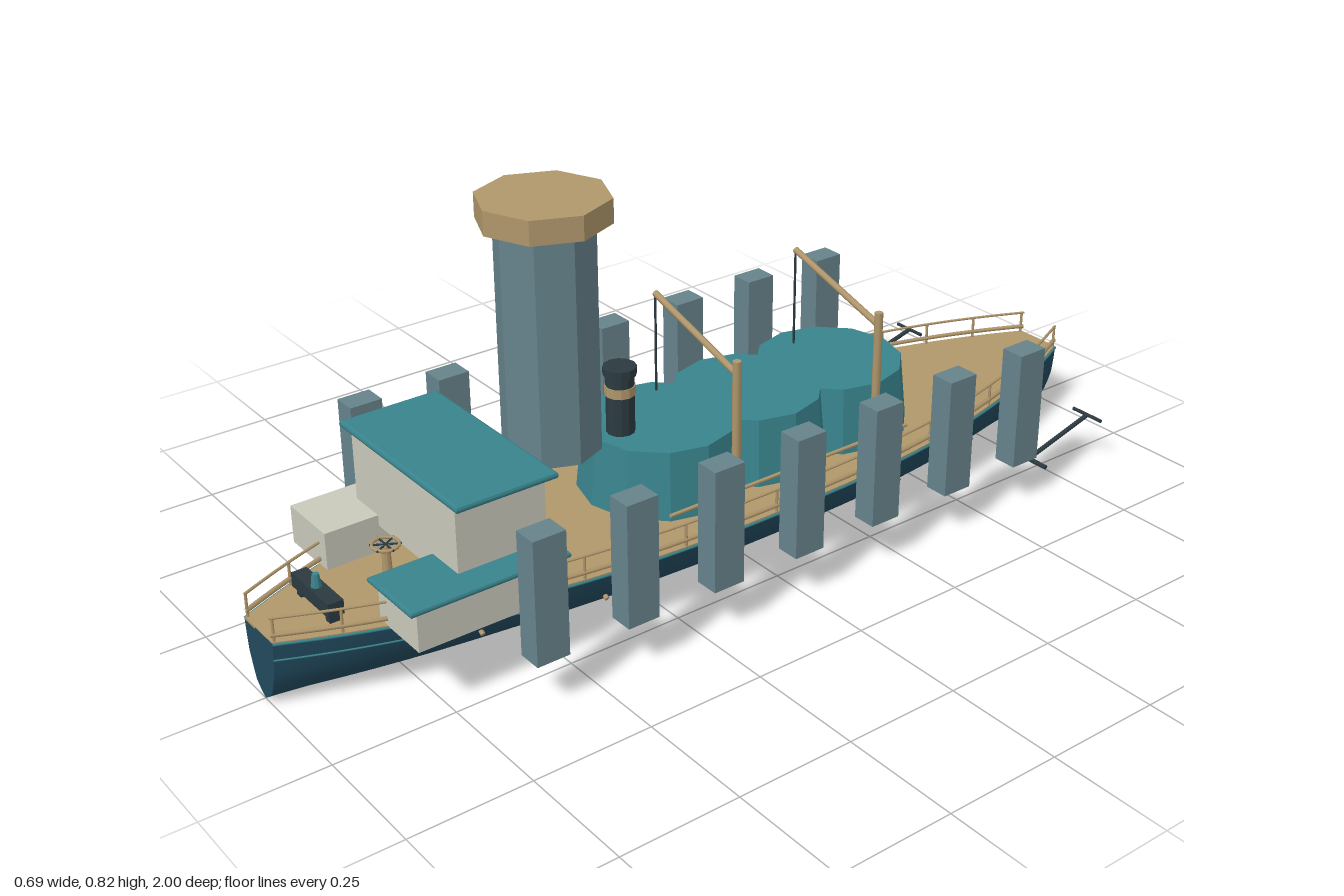
import * as THREE from 'three';

const mat = (name, color) => new THREE.MeshStandardMaterial({ name, color });

export function createModel() {
  const M = {
    navy: mat('hull navy', 0x21495d), tan: mat('timber tan', 0xb0966b),
    teal: mat('roof teal', 0x39838c), cream: mat('cabin cream', 0xc8c8bb),
    slate: mat('slate grey', 0x66828a), dark: mat('iron dark', 0x2b3a40),
  };
  M.navy.side = THREE.DoubleSide;
  const root = new THREE.Group();
  root.name = 'steamBoat';

  const add = (name, geo, m, x = 0, y = 0, z = 0) => {
    const mesh = new THREE.Mesh(geo, m);
    mesh.name = name;
    mesh.position.set(x, y, z);
    root.add(mesh);
    return mesh;
  };
  // box given by its limits
  const box = (name, m, x0, x1, y0, y1, z0, z1) =>
    add(name, new THREE.BoxGeometry(x1 - x0, y1 - y0, z1 - z0), m, (x0 + x1) / 2, (y0 + y1) / 2, (z0 + z1) / 2);
  // upright faceted cylinder between two heights
  const drum = (name, m, rTop, rBase, y0, y1, x, z, sides) => {
    const g = new THREE.CylinderGeometry(rTop, rBase, y1 - y0, sides).toNonIndexed();
    g.computeVertexNormals();
    return add(name, g, m, x, (y0 + y1) / 2, z);
  };
  // round bar between two points
  const bar = (name, m, a, b, r) => {
    const A = new THREE.Vector3(...a), B = new THREE.Vector3(...b);
    const mesh = add(name, new THREE.CylinderGeometry(r, r, A.distanceTo(B), 8), m);
    mesh.position.copy(A).add(B).multiplyScalar(0.5);
    mesh.quaternion.setFromUnitVectors(new THREE.Vector3(0, 1, 0), B.sub(A).normalize());
    return mesh;
  };

  // Hull: a section scaled by the half width along the length
  const halfWidth = z => 0.055 + 0.195 * (1 - Math.pow(Math.abs(z), 2.45));
  const half = [[0.25, 0.145], [0.24, 0.115], [0.222, 0.08], [0.185, 0.053], [0.138, 0.025], [0.07, 0.011]];
  const section = [...half.map(([x, y]) => [-x, y]), [0, 0], ...half.slice().reverse()];
  const N = 32, S = section.length, pos = [], idx = [];
  for (let i = 0; i <= N; i++) {
    const z = -1 + 2 * i / N, k = halfWidth(z) / 0.25;
    for (const [x, y] of section) pos.push(x * k, y, z);
  }
  for (let i = 0; i < N; i++) for (let j = 0; j < S - 1; j++) {
    const a = i * S + j, c = a + S;
    idx.push(a, a + 1, c, a + 1, c + 1, c);
  }
  const hull = new THREE.BufferGeometry();
  hull.setAttribute('position', new THREE.Float32BufferAttribute(pos, 3));
  hull.setIndex(idx);
  hull.computeVertexNormals();
  add('hull', hull, M.navy);
  const endShape = new THREE.Shape(section.map(([x, y]) => new THREE.Vector2(x * 0.22, y)));
  add('bowPlate', new THREE.ShapeGeometry(endShape), M.navy, 0, 0, 1);
  add('sternPlate', new THREE.ShapeGeometry(endShape), M.navy, 0, 0, -1).rotation.y = Math.PI;

  // Deck
  const rim = [];
  for (let i = 0; i <= N; i++) rim.push(new THREE.Vector2(halfWidth(-1 + 2 * i / N) - 0.002, -1 + 2 * i / N));
  const deckShape = new THREE.Shape([...rim, ...rim.slice().reverse().map(p => new THREE.Vector2(-p.x, p.y))]);
  const deck = new THREE.ExtrudeGeometry(deckShape, { depth: 0.006, bevelEnabled: false });
  deck.rotateX(-Math.PI / 2);
  add('deck', deck, M.tan, 0, 0.141, 0);

  // Lengthwise tubes following the outline, railing posts and hull studs
  const outline = (name, m, s, k, inset, y, r, z0 = -1, z1 = 1) => {
    const pts = [];
    for (let i = 0; i <= 24; i++) {
      const z = z0 + (z1 - z0) * i / 24;
      pts.push(new THREE.Vector3(s * (halfWidth(z) * k - inset), y, z));
    }
    add(name, new THREE.TubeGeometry(new THREE.CatmullRomCurve3(pts), 48, r, 6), m);
  };
  for (const s of [-1, 1]) {
    outline('sheerStrip', M.teal, s, 1, 0, 0.143, 0.003);
    outline('bowStrip', M.teal, s, 0.95, 0, 0.108, 0.002, 0.5, 1);
    outline('lowerRail', M.tan, s, 1, 0.006, 0.16, 0.005);
    outline('upperRail', M.tan, s, 1, 0.006, 0.195, 0.003);
    for (let i = 0; i <= 18; i++) {
      const z = -0.995 + 1.99 * i / 18, x = s * (halfWidth(z) - 0.006);
      bar('railPost', M.tan, [x, 0.145, z], [x, 0.196, z], 0.003);
    }
    for (let i = 0; i < 7; i++) {
      const z = -0.86 + i * 0.25, x = halfWidth(z) * 0.9;
      bar('hullStud', M.tan, [s * (x - 0.008), 0.088, z], [s * (x + 0.006), 0.08, z], 0.005);
    }
    // Hanging side blocks
    for (let i = -3; i <= 3; i++)
      box('sideBlock', M.slate, s * 0.32 - 0.026, s * 0.32 + 0.026, 0.098, 0.356, i * 0.2 - 0.035, i * 0.2 + 0.035);
    // Stern anchors
    const ax = s * 0.285;
    bar('anchorShank', M.dark, [ax, 0.055, -0.68], [ax, 0.105, -0.86], 0.005);
    bar('anchorArms', M.dark, [ax - 0.05, 0.055, -0.68], [ax + 0.05, 0.055, -0.68], 0.005);
    bar('anchorStock', M.dark, [ax - 0.04, 0.105, -0.86], [ax + 0.04, 0.105, -0.86], 0.004);
  }

  // Three joined round deckhouses with side brackets
  for (const z of [-0.345, -0.12, 0.103]) {
    drum('roundDeckhouse', M.teal, 0.157, 0.172, 0.145, 0.29, 0, z, 12);
    for (const s of [-1, 1]) bar('deckhouseBracket', M.tan, [s * 0.145, 0.18, z], [s * 0.192, 0.18, z], 0.007);
  }
  bar('sidePipe', M.tan, [0.188, 0.188, -0.4], [0.188, 0.188, 0.22], 0.004);

  // Cargo booms
  for (const z of [-0.332, 0.038]) {
    bar('boomPost', M.tan, [0.163, 0.145, z], [0.163, 0.456, z], 0.009);
    bar('boomArm', M.tan, [0.163, 0.428, z], [-0.1, 0.508, z], 0.007);
    bar('boomCable', M.dark, [-0.1, 0.29, z], [-0.1, 0.508, z], 0.0025);
  }

  // Main funnel and small stack
  drum('mainFunnel', M.slate, 0.098, 0.098, 0.31, 0.777, 0, 0.363, 8);
  drum('funnelCap', M.tan, 0.13, 0.13, 0.776, 0.825, 0, 0.363, 8);
  drum('smallStack', M.dark, 0.029, 0.029, 0.285, 0.425, 0, 0.2, 12);
  drum('smallStackBand', M.tan, 0.031, 0.031, 0.372, 0.392, 0, 0.2, 12);
  drum('smallStackRim', M.dark, 0.034, 0.034, 0.415, 0.432, 0, 0.2, 12);

  // Wheelhouse and side cabins
  const roof = (name, x0, x1, y0, y1, z0, z1) => {
    const h = y1 - y0, b = h * 0.4, sh = new THREE.Shape();
    sh.moveTo(x0 + b, -z1 + b).lineTo(x1 - b, -z1 + b).lineTo(x1 - b, -z0 - b).lineTo(x0 + b, -z0 - b);
    const g = new THREE.ExtrudeGeometry(sh, { depth: h - 2 * b, bevelThickness: b, bevelSize: b, bevelSegments: 2 });
    g.rotateX(-Math.PI / 2);
    add(name, g, M.teal, 0, y0 + b, 0);
  };
  box('wheelhouse', M.cream, -0.185, 0.185, 0.202, 0.374, 0.502, 0.692);
  roof('wheelhouseRoof', -0.211, 0.211, 0.372, 0.386, 0.488, 0.703);
  box('openCabin', M.cream, -0.238, -0.103, 0.145, 0.225, 0.51, 0.806);
  box('roofedCabin', M.cream, 0.103, 0.238, 0.145, 0.225, 0.508, 0.81);
  roof('cabinRoof', 0.093, 0.247, 0.224, 0.236, 0.49, 0.826);
  for (const x of [-0.075, 0.075]) box('rearWindow', M.dark, x - 0.028, x + 0.028, 0.295, 0.342, 0.455, 0.461);
  box('cabinRearWindow', M.dark, 0.13, 0.212, 0.188, 0.208, 0.478, 0.484);

  // Helm wheel on its column
  drum('helmBase', M.tan, 0.014, 0.014, 0.145, 0.165, 0, 0.735, 10);
  drum('helmColumn', M.tan, 0.008, 0.01, 0.16, 0.226, 0, 0.735, 10);
  add('helmWheel', new THREE.TorusGeometry(0.026, 0.0035, 6, 16), M.tan, 0, 0.226, 0.735).rotation.x = Math.PI / 2;
  for (let i = 0; i < 3; i++) {
    const c = 0.03 * Math.cos(i * Math.PI / 3), d = 0.03 * Math.sin(i * Math.PI / 3);
    bar('helmSpoke', M.dark, [-c, 0.226, 0.735 - d], [c, 0.226, 0.735 + d], 0.002);
  }

  // Bow winch
  box('winch', M.dark, -0.07, 0.07, 0.163, 0.192, 0.863, 0.895);
  for (const x of [-0.055, 0.055]) box('winchFoot', M.dark, x - 0.008, x + 0.008, 0.145, 0.165, 0.868, 0.89);
  drum('winchLever', M.teal, 0.007, 0.011, 0.19, 0.218, 0, 0.88, 8);

  return root;
}
